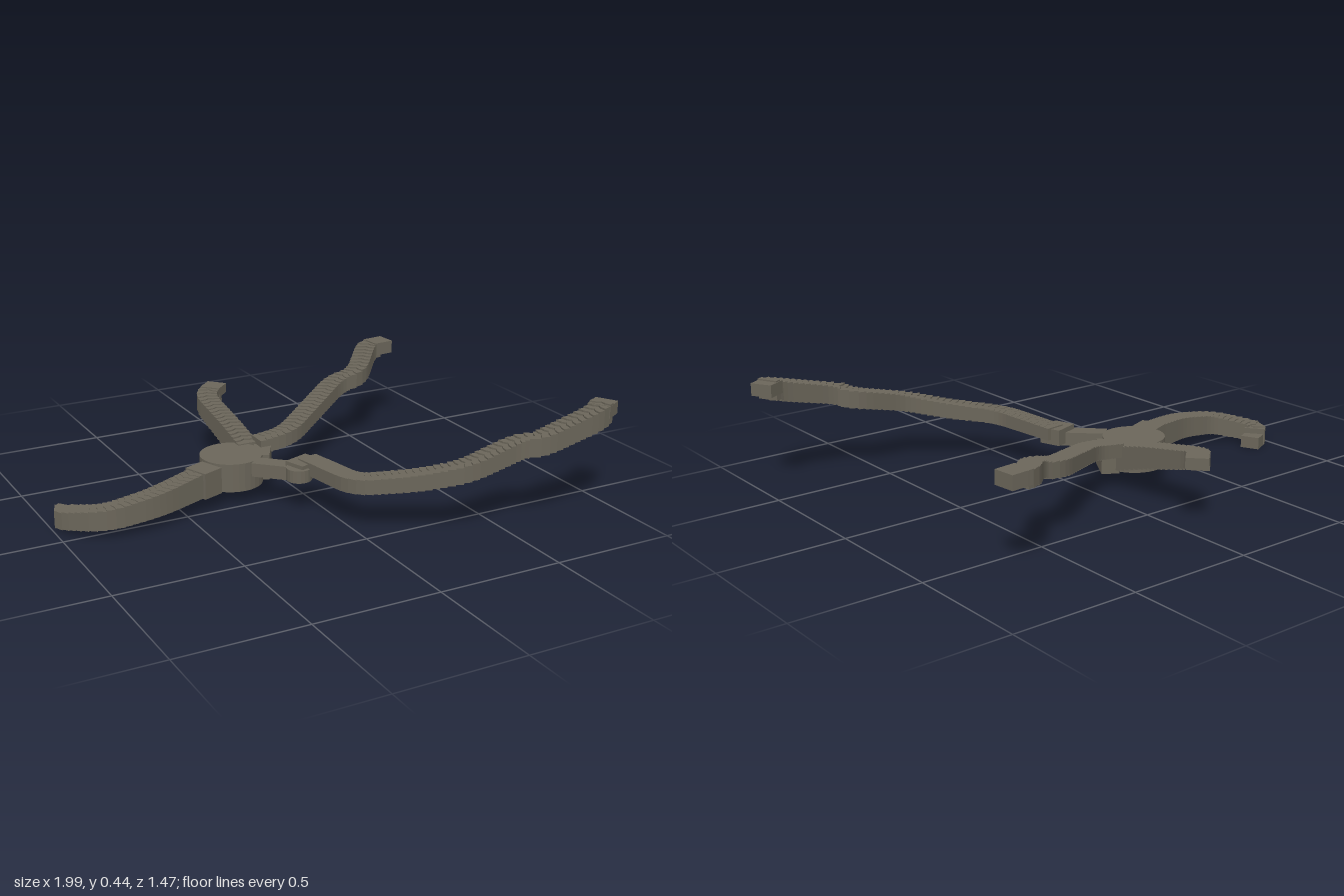
import * as THREE from 'three';

const material = new THREE.MeshStandardMaterial({ color: 0x6b665a, flatShading: true });
const WIDTH = 0.086;

// Upright block given by its plan centre, plan direction, size and height range
function block(name, x, z, dx, dz, length, width, bottom, top) {
  const mesh = new THREE.Mesh(new THREE.BoxGeometry(length, top - bottom, width), material);
  mesh.position.set(x, (bottom + top) / 2, z);
  mesh.rotation.y = Math.atan2(-dz, dx);
  mesh.name = name;
  return mesh;
}

function drum(name, x, z, radius, bottom, top, sides) {
  const mesh = new THREE.Mesh(new THREE.CylinderGeometry(radius, radius, top - bottom, sides), material);
  mesh.position.set(x, (bottom + top) / 2, z);
  mesh.name = name;
  return mesh;
}

// Path through [x, floor height, z] points with rounded corners
function roundedPath(points, radius = 0.07) {
  const p = points.map(a => new THREE.Vector3(...a));
  const path = new THREE.CurvePath();
  let from = p[0];
  for (let i = 1; i < p.length - 1; i++) {
    const toward = q => {
      const d = q.clone().sub(p[i]);
      return p[i].clone().addScaledVector(d, Math.min(radius / d.length(), 0.45));
    };
    const a = toward(p[i - 1]), b = toward(p[i + 1]);
    path.add(new THREE.LineCurve3(from, a));
    path.add(new THREE.QuadraticBezierCurve3(a, p[i], b));
    from = b;
  }
  path.add(new THREE.LineCurve3(from, p[p.length - 1]));
  return path;
}

// Arm of stepped slabs whose cross edges bow forward
function steppedArm(name, points, thickStart, thickEnd) {
  const group = new THREE.Group();
  group.name = name;
  const path = roundedPath(points);
  const count = Math.round(path.getLength() / 0.027);
  const rows = [];
  for (let i = 0; i <= count; i++) {
    const p = path.getPointAt(i / count);
    const t = path.getTangentAt(i / count).setY(0).normalize();
    const bow = i === 0 || i === count ? 0 : 0.014;
    // Plan coordinates: shape y is -z
    const at = (side, ahead) => new THREE.Vector2(
      p.x - t.z * side + t.x * ahead, -(p.z + t.x * side + t.z * ahead));
    rows.push({
      y: p.y,
      edge: [at(-WIDTH / 2, 0), at(-WIDTH / 5, bow * 0.3), at(0, bow), at(WIDTH / 5, bow * 0.3), at(WIDTH / 2, 0)],
    });
  }
  for (let i = 0; i < count; i++) {
    const shape = new THREE.Shape([...rows[i].edge, ...[...rows[i + 1].edge].reverse()]);
    const depth = THREE.MathUtils.lerp(thickStart, thickEnd, i / count);
    const geometry = new THREE.ExtrudeGeometry(shape, { depth, bevelEnabled: false });
    geometry.rotateX(-Math.PI / 2);
    const slab = new THREE.Mesh(geometry, material);
    slab.position.y = (rows[i].y + rows[i + 1].y) / 2;
    slab.name = name + 'Step';
    group.add(slab);
  }
  return group;
}

export function createModel() {
  const model = new THREE.Group();
  model.name = 'branchingPassages';

  // Central chamber and the blocks joining it to the arms
  model.add(drum('centralChamber', -0.25, -0.135, 0.125, 0.055, 0.17, 32));
  model.add(block('rightJoint', -0.405, -0.055, 0.93, -0.36, 0.09, 0.105, 0.06, 0.165));
  model.add(block('leftJoint', -0.115, -0.135, 0.5, -0.85, 0.13, 0.07, 0.06, 0.165));
  model.add(block('frontJoint', -0.13, 0.045, 0.72, 0.7, 0.2, 0.07, 0.115, 0.17));
  model.add(drum('frontAlcove', -0.088, 0.132, 0.05, 0.125, 0.175, 20));
  model.add(block('frontAlcoveBlock', -0.055, 0.11, 0.9, -0.3, 0.11, 0.09, 0.125, 0.19));

  // Long front arm
  model.add(steppedArm('frontArm', [
    [-0.03, 0.145, 0.09], [0.01, 0.15, 0.4], [0.2, 0.18, 0.54], [0.34, 0.215, 0.625],
    [0.58, 0.27, 0.625], [0.63, 0.285, 0.68], [0.89, 0.345, 0.68], [0.94, 0.36, 0.655],
  ], 0.05, 0.08));
  model.add(block('frontArmEnd', 0.945, 0.65, 0.87, -0.5, 0.08, 0.09, 0.38, 0.43));

  // Back left arm
  model.add(steppedArm('backLeftArm', [
    [-0.11, 0.135, -0.195], [0.03, 0.15, -0.195], [0.4, 0.235, -0.46], [0.51, 0.255, -0.46],
    [0.65, 0.305, -0.625], [0.7, 0.31, -0.637],
  ], 0.055, 0.065));
  model.add(block('backLeftArmEnd', 0.72, -0.637, 1, -0.1, 0.09, 0.088, 0.32, 0.375));

  // Short back arm
  model.add(steppedArm('backArm', [
    [-0.143, 0.07, -0.2], [-0.143, 0.12, -0.35], [-0.143, 0.19, -0.62], [-0.08, 0.21, -0.68],
  ], 0.1, 0.06));
  model.add(block('backArmEnd', -0.072, -0.685, 0.72, -0.68, 0.08, 0.085, 0.23, 0.27));

  // Right arm, descending to the ground
  model.add(steppedArm('rightArm', [
    [-0.39, 0.065, -0.06], [-0.64, 0.053, 0.026], [-0.84, 0.035, 0.026],
    [-0.965, 0.01, -0.125], [-0.92, 0.005, -0.16],
  ], 0.1, 0.065));
  model.add(block('rightArmEnd', -0.908, -0.163, 0.9, -0.43, 0.085, 0.078, 0, 0.05));

  return model;
}
